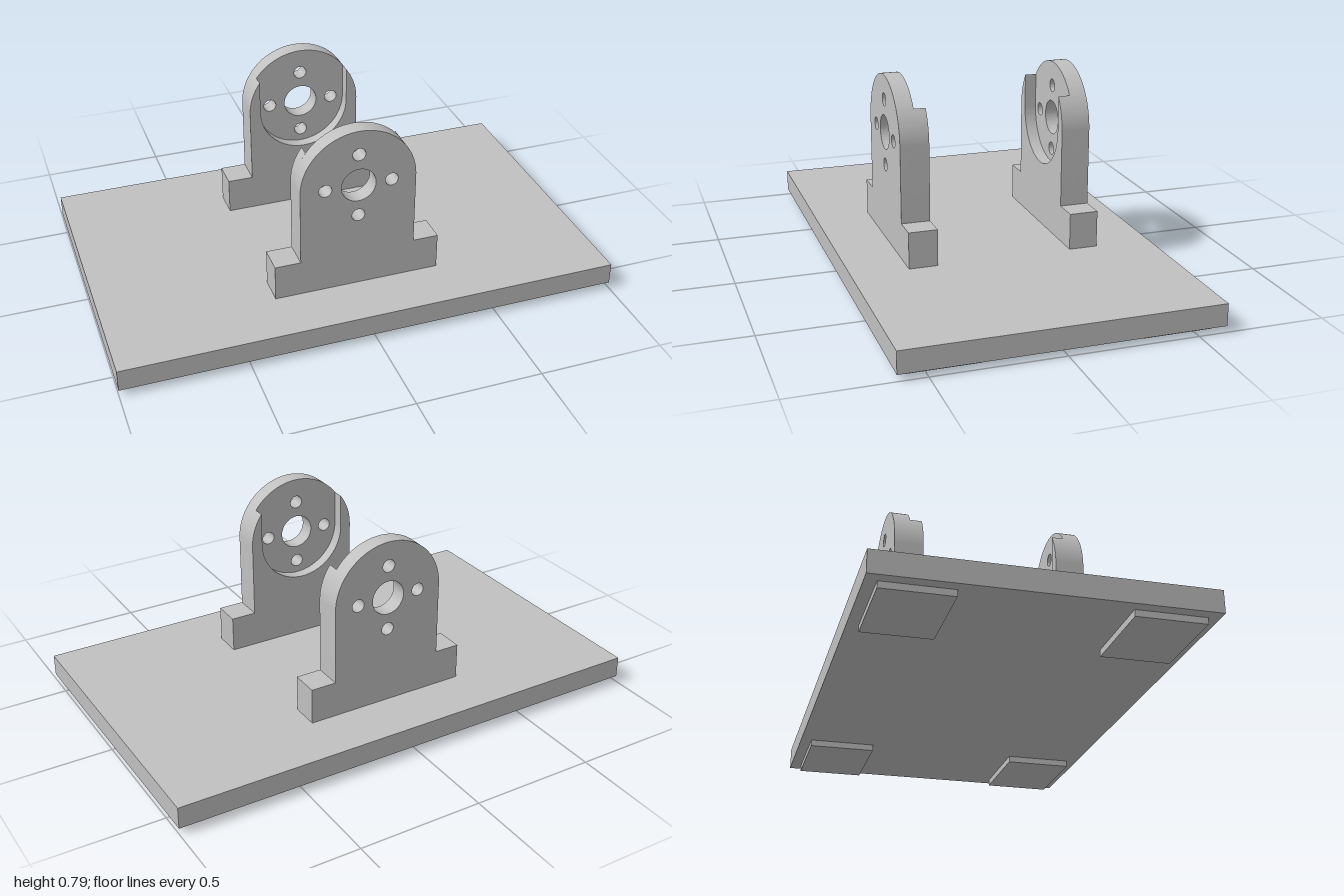
import * as THREE from 'three';
import { toCreasedNormals } from 'three/addons/utils/BufferGeometryUtils.js';

const BASE_TOP = 0.112, FOOT_H = 0.025;
const AXIS_Y = 0.56;        // centre of the rounded head and its holes
const HEAD_R = 0.232, SLOT_R = 0.187;
const Z_IN = 0.27, Z_STEP = 0.317, Z_OUT = 0.385;

export function createModel() {
  const grey = new THREE.MeshStandardMaterial({ color: 0xc0c0c0 });
  grey.name = 'plain grey';
  const model = new THREE.Group();
  model.name = 'bearingStand';

  const add = (parent, name, geometry, x = 0, y = 0, z = 0) => {
    const mesh = new THREE.Mesh(geometry, grey);
    mesh.name = name;
    mesh.position.set(x, y, z);
    parent.add(mesh);
  };

  // Upright outline with stepped feet; the slotted one is open at the top
  const outline = (slotted) => {
    const s = new THREE.Shape();
    s.moveTo(-0.335, BASE_TOP);
    s.lineTo(0.335, BASE_TOP);
    s.lineTo(0.335, 0.258);
    s.lineTo(HEAD_R, 0.258);
    s.lineTo(HEAD_R, AXIS_Y);
    if (slotted) {
      const a = Math.acos(SLOT_R / HEAD_R);
      s.absarc(0, AXIS_Y, HEAD_R, 0, a, false);
      s.lineTo(SLOT_R, AXIS_Y);
      s.absarc(0, AXIS_Y, SLOT_R, 0, -Math.PI, true);
      s.lineTo(-SLOT_R, AXIS_Y + HEAD_R * Math.sin(a));
      s.absarc(0, AXIS_Y, HEAD_R, Math.PI - a, Math.PI, false);
    } else {
      s.absarc(0, AXIS_Y, HEAD_R, 0, Math.PI, false);
    }
    s.lineTo(-HEAD_R, 0.258);
    s.lineTo(-0.335, 0.258);
    s.closePath();
    return s;
  };

  const extrude = (shape, depth) => toCreasedNormals(
    new THREE.ExtrudeGeometry(shape, { depth, bevelEnabled: false, curveSegments: 40 }), 0.5);

  // Outer plate: one shaft hole and four bolt holes
  const plate = outline(false);
  const hole = (x, y, r) => {
    const p = new THREE.Path();
    p.absarc(x, y, r, 0, Math.PI * 2, true);
    plate.holes.push(p);
  };
  hole(0, AXIS_Y, 0.069);
  for (const [dx, dy] of [[1, 0], [0, 1], [-1, 0], [0, -1]]) {
    hole(dx * 0.133, AXIS_Y + dy * 0.133, 0.026);
  }
  const plateGeo = extrude(plate, Z_OUT - Z_STEP);
  const slotGeo = extrude(outline(true), Z_STEP - Z_IN);

  // Two uprights, recesses facing each other
  for (const [name, turn] of [['frontBracket', 0], ['backBracket', Math.PI]]) {
    const bracket = new THREE.Group();
    bracket.name = name;
    add(bracket, 'drilledPlate', plateGeo, 0, 0, Z_STEP);
    add(bracket, 'slottedRim', slotGeo, 0, 0, Z_IN);
    bracket.rotation.y = turn;
    model.add(bracket);
  }

  // Base board
  add(model, 'base', new THREE.BoxGeometry(2, BASE_TOP - FOOT_H, 1.22), 0, (BASE_TOP + FOOT_H) / 2, 0);

  // Four thin pads underneath
  const padGeo = new THREE.BoxGeometry(0.352, FOOT_H, 0.264);
  for (const sx of [-1, 1]) {
    for (const sz of [-1, 1]) add(model, 'footPad', padGeo, sx * 0.778, FOOT_H / 2, sz * 0.435);
  }
  return model;
}
